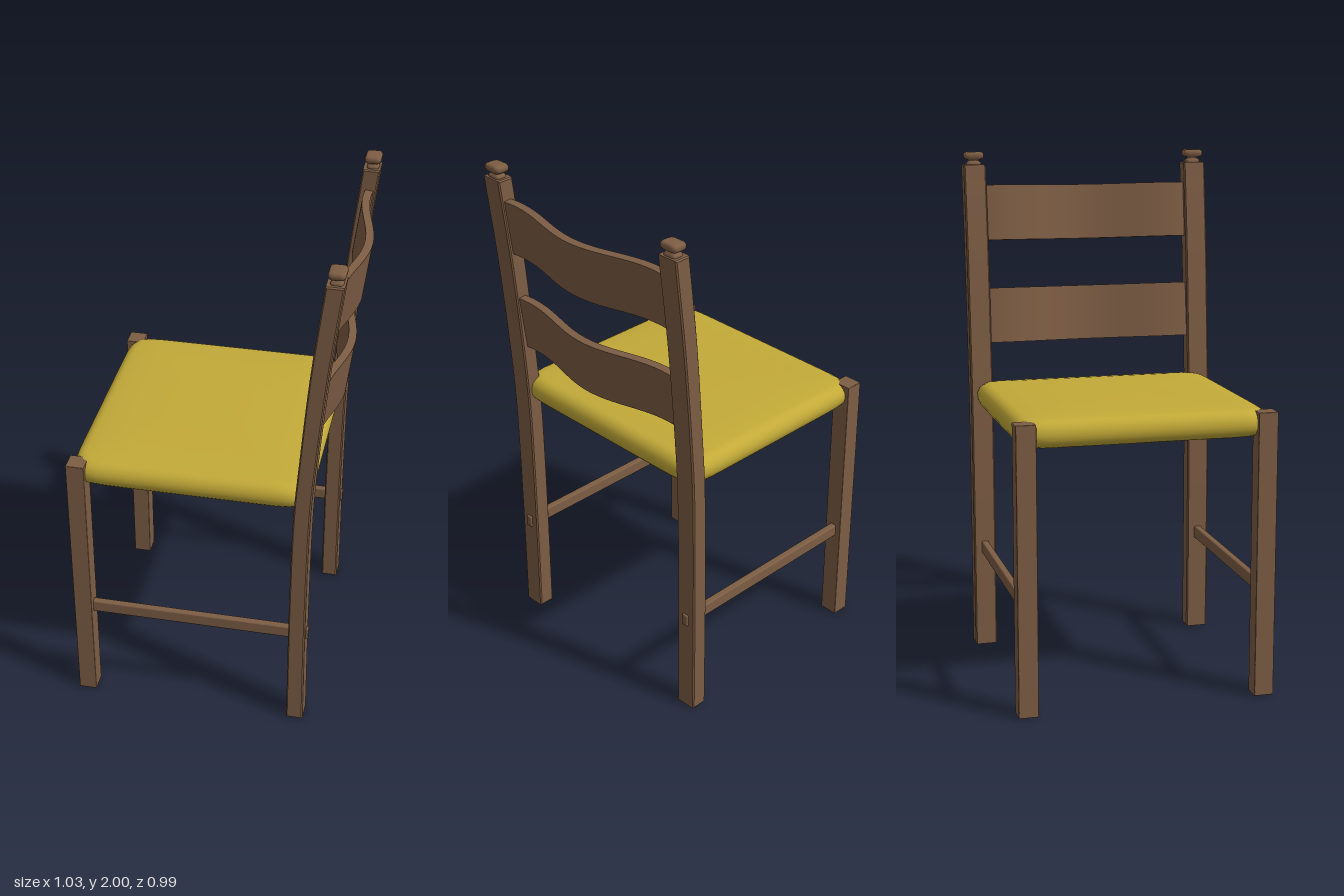
import * as THREE from 'three';
import { mergeVertices } from 'three/addons/utils/BufferGeometryUtils.js';
import { RoundedBoxGeometry } from 'three/addons/geometries/RoundedBoxGeometry.js';

const wood = new THREE.MeshStandardMaterial({ color: 0x7d5d44 });
wood.name = 'brown wood';
const fabric = new THREE.MeshStandardMaterial({ color: 0xc3aa38 });
fabric.name = 'mustard fabric';

// Lathe turned into a rounded rectangle in plan; profile is [radius 0..1, y]
function squareLathe(profile, halfX, halfZ, power, segments) {
  const points = profile.map(([r, y]) => new THREE.Vector2(r, y));
  let geometry = new THREE.LatheGeometry(points, segments);
  const p = geometry.attributes.position;
  for (let i = 0; i < p.count; i++) {
    const x = p.getX(i), z = p.getZ(i);
    const r = Math.hypot(x, z);
    const n = Math.pow(Math.abs(x) ** power + Math.abs(z) ** power, 1 / power);
    const k = n > 1e-6 ? r / n : 0;
    p.setXYZ(i, x * k * halfX, p.getY(i), z * k * halfZ);
  }
  geometry.deleteAttribute('uv');
  geometry.deleteAttribute('normal');
  geometry = mergeVertices(geometry, 1e-5);
  geometry.computeVertexNormals();
  return geometry;
}

// Back post: side outline swept back towards the top
function backLegGeometry() {
  const bevel = 0.005;
  const front = [[0.325, 0], [0.325, 0.5], [0.331, 0.95], [0.349, 1.24], [0.378, 1.6], [0.418, 1.95]];
  const rear = [[0.39, 0], [0.389, 0.5], [0.394, 0.95], [0.411, 1.24], [0.442, 1.6], [0.483, 1.95]];
  const smooth = (pts, dx) => new THREE.SplineCurve(
    pts.map(([x, y]) => new THREE.Vector2(x + dx, THREE.MathUtils.clamp(y, bevel, 1.95 - bevel)))
  ).getPoints(24);
  const shape = new THREE.Shape([...smooth(rear, -bevel), ...smooth(front, bevel).reverse()]);
  const depth = 0.088 - 2 * bevel;
  const geometry = new THREE.ExtrudeGeometry(shape, {
    depth, bevelEnabled: true, bevelSize: bevel, bevelThickness: bevel, bevelSegments: 1,
  });
  return geometry.translate(0, 0, -depth / 2);
}

// Back slat bowed to the rear in the middle, tilted with the posts
function slatGeometry() {
  const geometry = new THREE.BoxGeometry(0.03, 0.218, 0.84, 1, 1, 40);
  const p = geometry.attributes.position;
  for (let i = 0; i < p.count; i++) {
    const bow = 0.0275 * (1 + Math.cos(Math.PI * p.getZ(i) / 0.36));
    p.setX(i, p.getX(i) + bow);
  }
  geometry.computeVertexNormals();
  return geometry.rotateZ(-0.127);
}

export function createModel() {
  const chair = new THREE.Group();
  chair.name = 'chair';
  const add = (name, geometry, material, x = 0, y = 0, z = 0) => {
    const mesh = new THREE.Mesh(geometry, material);
    mesh.name = name;
    mesh.position.set(x, y, z);
    chair.add(mesh);
  };

  // Padded seat with rolled edges and a slight crown
  const seatProfile = [[0, 0.99], [0.6, 0.99], [0.93, 0.99]];
  for (let i = 0; i <= 10; i++) {
    const a = -Math.PI / 2 + Math.PI * i / 10;
    seatProfile.push([0.9 + 0.1 * Math.cos(a), 1.044 + 0.052 * Math.sin(a)]);
  }
  seatProfile.splice(2, 2);
  seatProfile.push([0.8, 1.101], [0.6, 1.105], [0.3, 1.107], [0, 1.108]);
  add('seat', squareLathe(seatProfile, 0.449, 0.48, 14, 96), fabric, -0.063);

  const backLeg = backLegGeometry();
  const frontLeg = new RoundedBoxGeometry(0.07, 1.09, 0.075, 1, 0.003);
  const stretcher = new RoundedBoxGeometry(0.88, 0.05, 0.028, 2, 0.006);
  const finial = squareLathe([
    [0, 1.94], [0.7, 1.94], [0.74, 1.952], [0.7, 1.959], [0.52, 1.963], [0.52, 1.968],
    [0.85, 1.972], [1, 1.98], [1, 1.99], [0.9, 1.997], [0.7, 2], [0, 2],
  ], 0.031, 0.039, 5, 32);

  // Legs, side stretchers and post finials on both sides
  for (const [side, s] of [['left', 1], ['right', -1]]) {
    const label = s > 0 ? 'Left' : 'Right';
    add('frontLeg' + label, frontLeg, wood, -0.485, 0.545, s * 0.4525);
    add('backLeg' + label, backLeg, wood, 0, 0, s * 0.453);
    add(side + 'Stretcher', stretcher, wood, -0.043, 0.413, s * 0.453);
    add(side + 'Finial', finial, wood, 0.453, 0, s * 0.453);
  }

  // Two curved ladder-back slats
  const slat = slatGeometry();
  add('upperSlat', slat, wood, 0.431, 1.76, 0);
  add('lowerSlat', slat, wood, 0.387, 1.354, 0);

  return chair;
}
